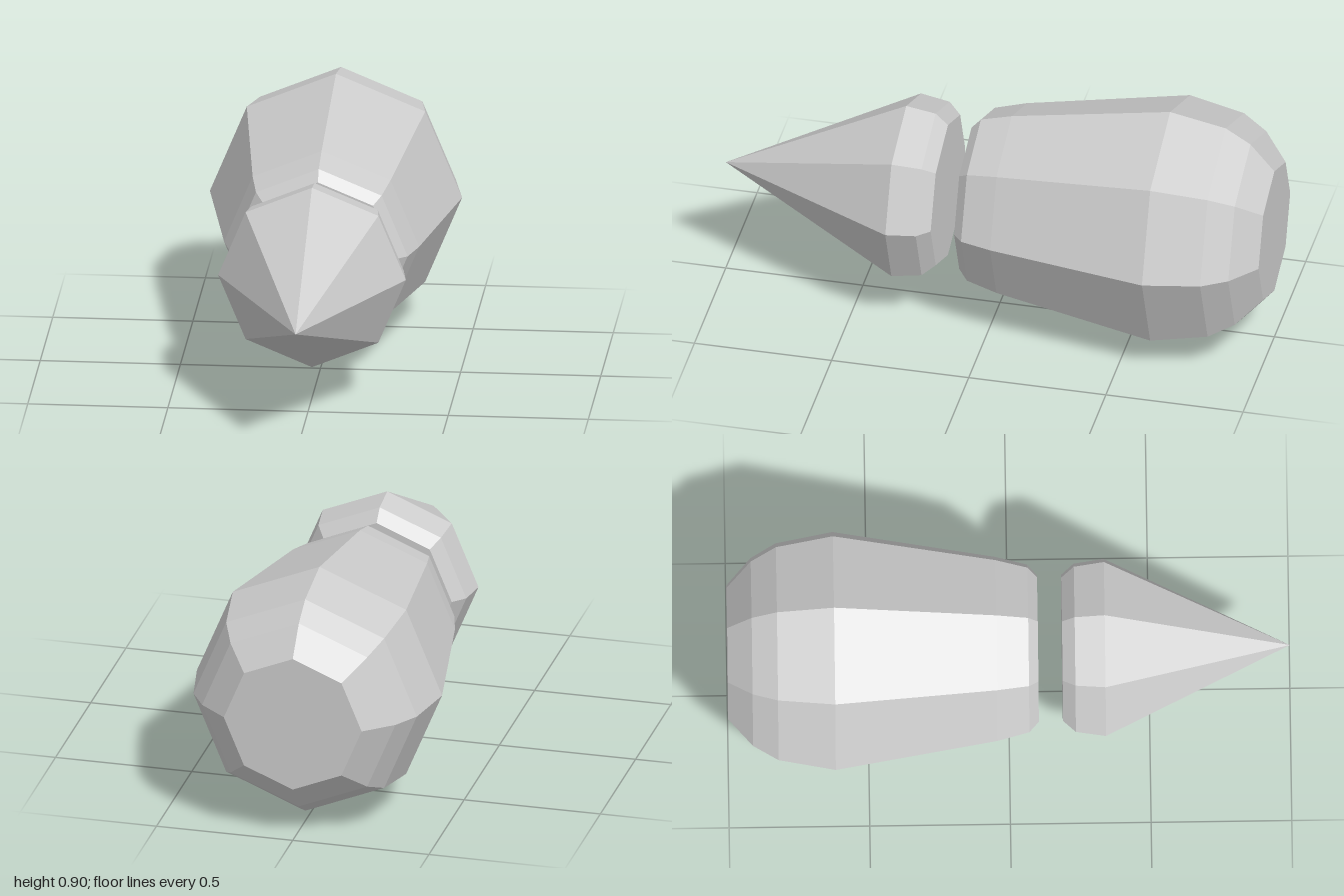
import * as THREE from 'three';

const SIDES = 8;
const AXIS_HEIGHT = 0.45;

// Eight-sided solid turned around the z axis; profile is [radius, z] from back to front.
function turnedPart(name, profile, material) {
  const points = profile.map(([r, z]) => new THREE.Vector2(r, z));
  const geometry = new THREE.LatheGeometry(points, SIDES);
  geometry.rotateX(Math.PI / 2);
  const mesh = new THREE.Mesh(geometry, material);
  mesh.name = name;
  mesh.position.y = AXIS_HEIGHT;
  return mesh;
}

export function createModel() {
  const group = new THREE.Group();
  group.name = 'taperedBodyWithPoint';
  const grey = new THREE.MeshStandardMaterial({ color: 0xcccccc, flatShading: true });

  // Barrel-shaped body, widest toward the flat back end
  group.add(turnedPart('body', [
    [0, -1], [0.253, -1], [0.355, -0.913], [0.41, -0.823], [0.45, -0.62],
    [0.348, -0.043], [0.317, 0.07], [0.278, 0.104], [0, 0.104],
  ], grey));

  // Detached pointed tip with a bevelled collar
  group.add(turnedPart('tip', [
    [0, 0.19], [0.276, 0.19], [0.318, 0.235], [0.335, 0.342], [0, 1],
  ], grey));

  return group;
}
